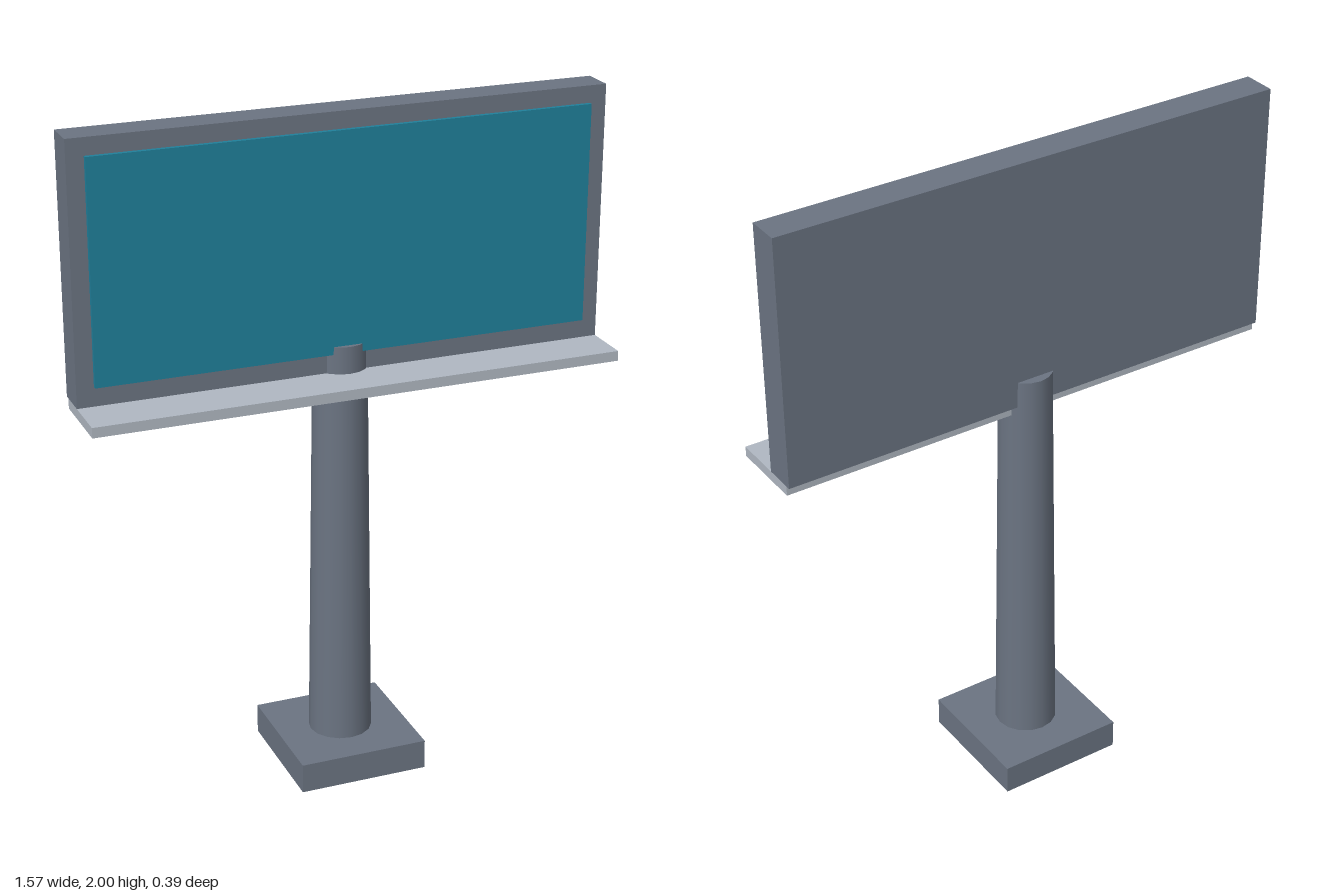
import * as THREE from 'three';

export function createModel() {
  const model = new THREE.Group();
  const material = (name, color) => {
    const m = new THREE.MeshStandardMaterial({ color });
    m.name = name;
    return m;
  };
  const steel = material('steel grey', 0x6b7482);
  const pale = material('pale grey', 0xb0b8c2);
  const teal = material('panel teal', 0x20809b);

  const add = (name, geometry, mat, y, z = 0) => {
    const mesh = new THREE.Mesh(geometry, mat);
    mesh.name = name;
    mesh.position.set(0, y, z);
    model.add(mesh);
  };
  // Box spanning y0..y1 and z0..z1, centred on x
  const box = (name, mat, width, y0, y1, z0, z1) =>
    add(name, new THREE.BoxGeometry(width, y1 - y0, z1 - z0), mat, (y0 + y1) / 2, (z0 + z1) / 2);

  // Footing and tapered pole, whose top overlaps the board
  box('base', steel, 0.39, 0, 0.09, -0.195, 0.195);
  add('pole', new THREE.CylinderGeometry(0.078, 0.094, 1.24, 16), steel, 0.71);

  // Board with its raised display face
  box('board', steel, 1.57, 1.25, 2, -0.05, 0.05);
  box('displayPanel', teal, 1.47, 1.307, 1.95, 0.05, 0.063);

  // Service walkway under the front of the board
  box('walkway', pale, 1.57, 1.22, 1.25, -0.035, 0.195);

  return model;
}
